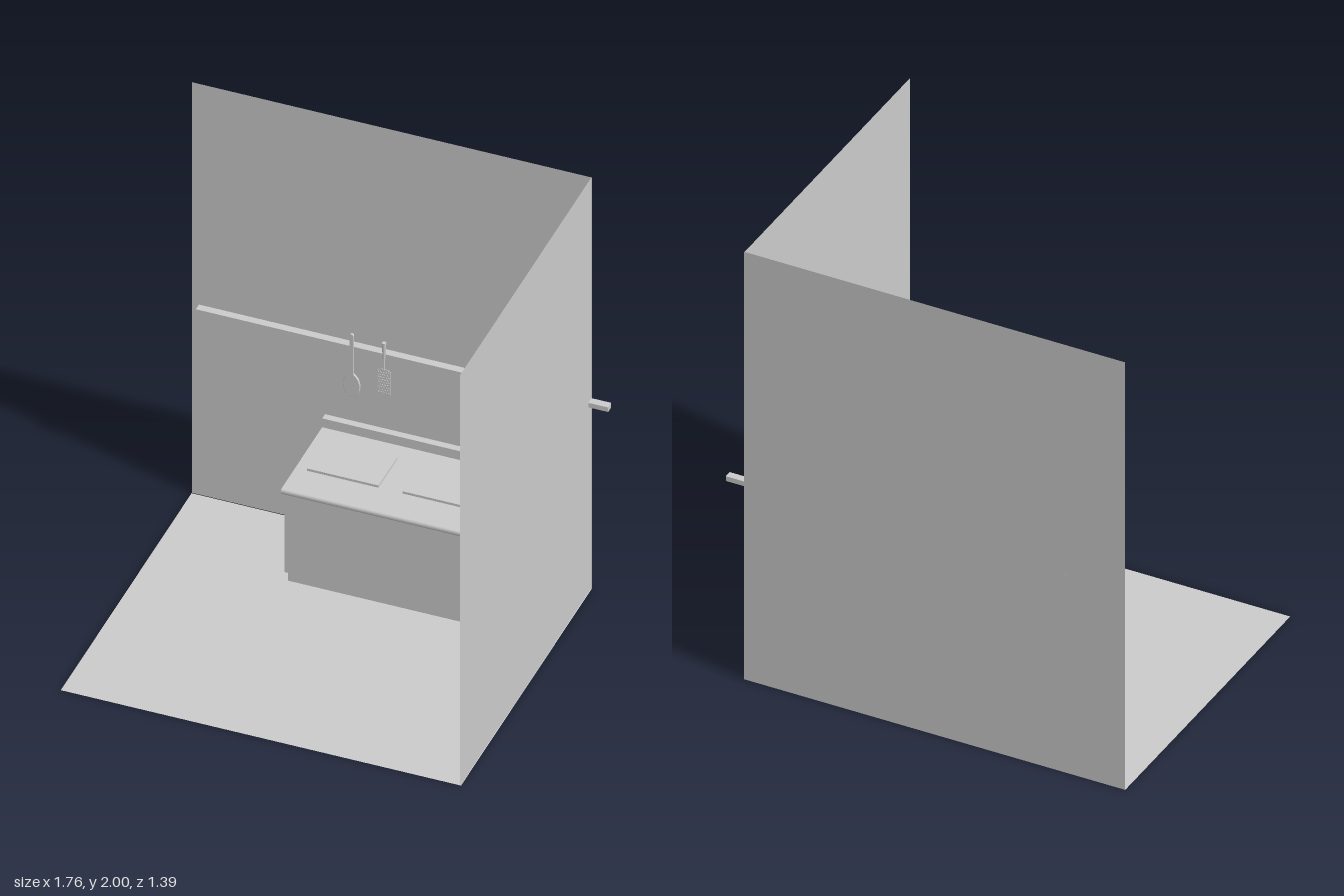
import * as THREE from 'three';

const grey = new THREE.MeshStandardMaterial({ color: 0xcccccc });
const thin = new THREE.MeshStandardMaterial({ color: 0xcccccc, side: THREE.DoubleSide });

export function createModel() {
  const group = new THREE.Group();

  const add = (name, geometry, material = grey) => {
    const mesh = new THREE.Mesh(geometry, material);
    mesh.name = name;
    group.add(mesh);
    return mesh;
  };
  // Box given by its limits on each axis
  const box = (name, x0, x1, y0, y1, z0, z1) =>
    add(name, new THREE.BoxGeometry(x1 - x0, y1 - y0, z1 - z0))
      .position.set((x0 + x1) / 2, (y0 + y1) / 2, (z0 + z1) / 2);

  // Room: floor, back wall and one side wall, all single sheets
  const floor = add('floor', new THREE.PlaneGeometry(1.68, 1.38), thin);
  floor.rotation.x = -Math.PI / 2;
  floor.position.set(-0.04, 0, 0);
  add('backWall', new THREE.PlaneGeometry(1.68, 2), thin).position.set(-0.04, 1, -0.693);
  const side = add('sideWall', new THREE.PlaneGeometry(1.386, 2), thin);
  side.rotation.y = -Math.PI / 2;
  side.position.set(0.797, 1, 0);

  // Utensil rail
  box('rail', -0.85, 0.88, 0.903, 0.925, -0.693, -0.66);

  // Cabinet with recessed plinth
  box('plinth', -0.32, 0.48, 0, 0.07, -0.69, -0.3);
  box('cabinet', -0.32, 0.48, 0.07, 0.47, -0.69, -0.26);

  // Worktop with a rounded front edge; shape is drawn as (-z, y)
  const r = 0.012;
  const top = new THREE.Shape();
  top.moveTo(0.69, 0.47);
  top.lineTo(0.69, 0.497);
  top.lineTo(0.225 + r, 0.497);
  top.absarc(0.225 + r, 0.497 - r, r, Math.PI / 2, Math.PI, false);
  top.absarc(0.225 + r, 0.47 + r, r, Math.PI, Math.PI * 1.5, false);
  const topGeo = new THREE.ExtrudeGeometry(top, { depth: 0.8, bevelEnabled: false, curveSegments: 6 });
  topGeo.rotateY(Math.PI / 2);
  add('worktop', topGeo).position.x = -0.32;

  box('backsplash', -0.32, 0.48, 0.497, 0.54, -0.69, -0.66);
  for (const x of [-0.27, 0.13]) box('hotplate', x, x + 0.3, 0.497, 0.508, -0.575, -0.375);

  // Wooden spoon
  const spoon = new THREE.Shape();
  spoon.moveTo(-0.007, 0.985);
  spoon.quadraticCurveTo(0, 0.995, 0.007, 0.985);
  spoon.lineTo(0.007, 0.8);
  spoon.bezierCurveTo(0.012, 0.785, 0.028, 0.79, 0.034, 0.745);
  spoon.bezierCurveTo(0.036, 0.668, -0.036, 0.668, -0.034, 0.745);
  spoon.bezierCurveTo(-0.028, 0.79, -0.012, 0.785, -0.007, 0.8);
  add('spoon', new THREE.ExtrudeGeometry(spoon, {
    depth: 0.004, bevelThickness: 0.003, bevelSize: 0.002, bevelSegments: 2, curveSegments: 10,
  })).position.set(-0.194, 0, -0.657);

  // Perforated skimmer blade
  const blade = new THREE.Shape();
  blade.moveTo(-0.028, 0.735);
  blade.quadraticCurveTo(0, 0.727, 0.028, 0.735);
  blade.lineTo(0.028, 0.848);
  blade.quadraticCurveTo(0, 0.864, -0.028, 0.848);
  blade.closePath();
  for (let row = 0; row < 9; row++) {
    const count = row % 2 ? 4 : 5;
    for (let i = 0; i < count; i++) {
      const hole = new THREE.Path();
      hole.absarc((i - (count - 1) / 2) * 0.0108, 0.746 + row * 0.012, 0.0035, 0, Math.PI * 2, true);
      blade.holes.push(hole);
    }
  }
  add('skimmerBlade', new THREE.ExtrudeGeometry(blade, { depth: 0.003, bevelEnabled: false, curveSegments: 3 }))
    .position.set(-0.058, 0, -0.656);

  // Skimmer neck and grip
  add('skimmerNeck', new THREE.CylinderGeometry(0.003, 0.003, 0.07, 8)).position.set(-0.058, 0.885, -0.6545);
  add('skimmerGrip', new THREE.CylinderGeometry(0.009, 0.006, 0.076, 12)).position.set(-0.058, 0.947, -0.6545);

  return group;
}
